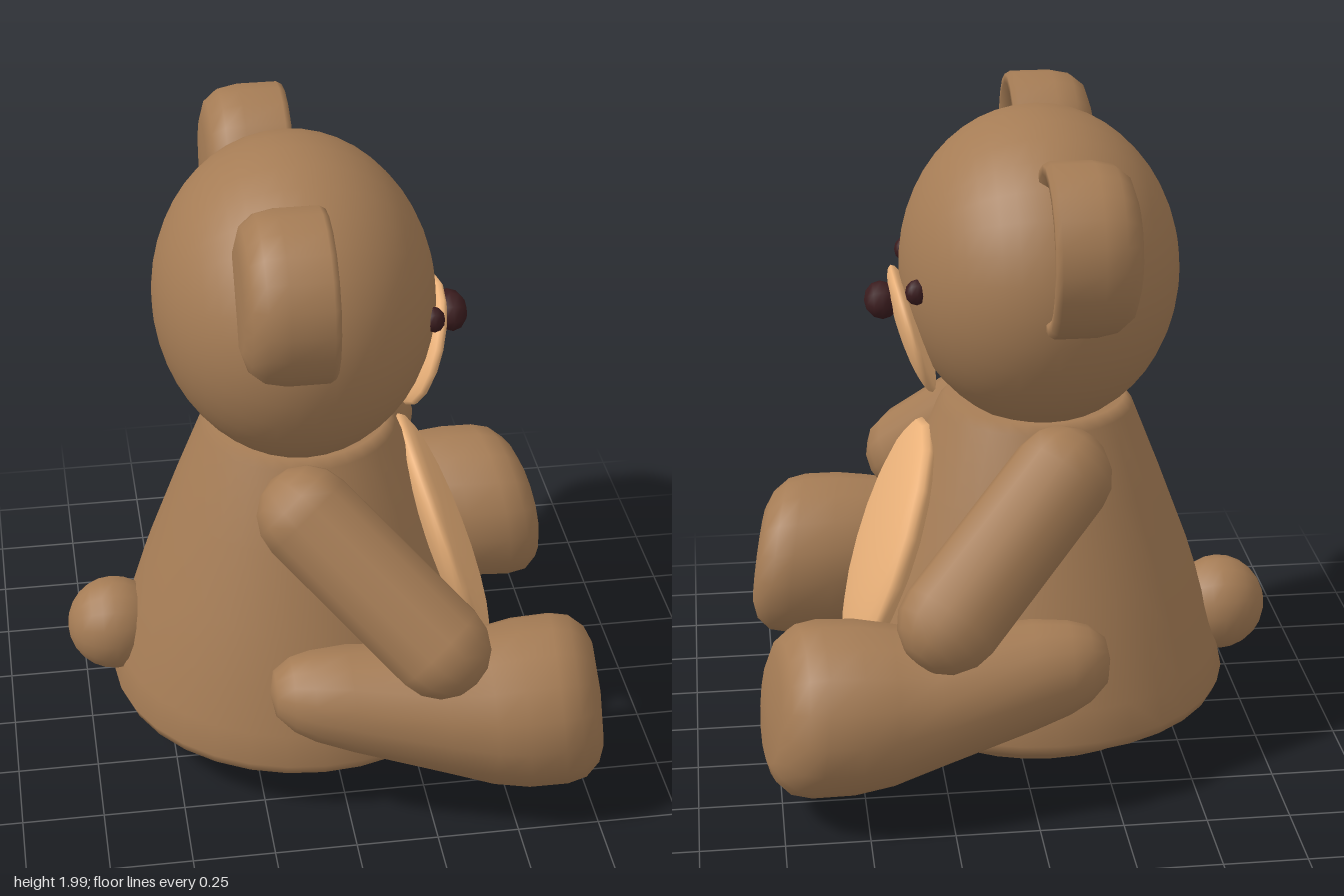
import * as THREE from 'three';
import { mergeVertices } from 'three/addons/utils/BufferGeometryUtils.js';

const material = (color) => new THREE.MeshStandardMaterial({ color });
const fur = material(0xa57c55);
const tan = material(0xebb27a);
const dark = material(0x3a1c1e);

const lathe = (profile, sides) =>
  new THREE.LatheGeometry(profile.map(([r, h]) => new THREE.Vector2(r, h)), sides);

export function createModel() {
  const bear = new THREE.Group();
  bear.name = 'teddyBear';

  function add(name, geometry, mat, x = 0, y = 0, z = 0) {
    const mesh = new THREE.Mesh(geometry, mat);
    mesh.name = name;
    mesh.position.set(x, y, z);
    bear.add(mesh);
    return mesh;
  }

  // Ellipsoid with its poles along x, the direction the bear faces
  function ellipsoid(name, mat, [x, y, z], [rx, ry, rz], w = 16, h = 12) {
    const geometry = new THREE.SphereGeometry(1, w, h).rotateZ(-Math.PI / 2).scale(rx, ry, rz);
    return add(name, geometry, mat, x, y, z);
  }

  // Pear-shaped body with a tucked-in base
  const bodyProfile = [[0, 0.01], [0.2, 0.017], [0.34, 0.035], [0.42, 0.065], [0.47, 0.11], [0.53, 0.145],
    [0.58, 0.165], [0.595, 0.2], [0.575, 0.3], [0.53, 0.45], [0.483, 0.6], [0.39, 0.85], [0.3, 1.08],
    [0.275, 1.11], [0, 1.12]];
  add('body', lathe(bodyProfile, 32), fur, -0.075, 0, 0);

  // Head and face
  ellipsoid('head', fur, [-0.085, 1.52, 0], [0.42, 0.48, 0.515], 32, 24);
  ellipsoid('muzzle', tan, [0.3, 1.33, 0], [0.04, 0.2, 0.22]).rotation.z = -0.3;
  ellipsoid('nose', dark, [0.39, 1.425, 0], [0.052, 0.058, 0.085], 8, 6);

  // Belly patch lying on the slope of the body
  ellipsoid('bellyPatch', tan, [0.385, 0.635, 0], [0.07, 0.405, 0.355]).rotation.z = 0.336;

  ellipsoid('tail', fur, [-0.665, 0.37, -0.01], [0.145, 0.15, 0.145], 16, 12);

  // Cupped ear shell, and the lining set into it
  const earProfile = [[0, -0.3], [0.15, -0.298], [0.205, -0.28], [0.238, -0.24], [0.25, -0.18],
    [0.25, -0.06], [0.24, -0.042], [0.215, -0.042], [0.19, -0.07], [0.165, -0.13], [0, -0.15]];
  const liningProfile = [[0.165, -0.115], [0.1, -0.135], [0, -0.14]];

  // Leg: a turned profile along x, bent to follow its centre line
  const legProfile = [[0, -0.235], [0.07, -0.22], [0.115, -0.17], [0.14, -0.11], [0.165, 0], [0.2, 0.28],
    [0.24, 0.42], [0.26, 0.53], [0.263, 0.65], [0.25, 0.71], [0.21, 0.755], [0.16, 0.775], [0, 0.785]];
  const legPath = new THREE.CatmullRomCurve3([[-0.235, 0.455, 0.54], [0, 0.428, 0.56], [0.28, 0.375, 0.58],
    [0.53, 0.355, 0.563], [0.785, 0.355, 0.553]].map((p) => new THREE.Vector3(...p)));
  const pathPoints = legPath.getPoints(100);

  function legGeometry(side) {
    let geometry = lathe(legProfile, 16).rotateZ(-Math.PI / 2);
    geometry.deleteAttribute('uv');
    geometry.deleteAttribute('normal');
    const pos = geometry.attributes.position;
    for (let i = 0; i < pos.count; i++) {
      const [x, y, z] = [pos.getX(i), pos.getY(i), pos.getZ(i)];
      const c = pathPoints.find((p) => p.x >= x - 1e-4) ?? pathPoints[100];
      // The sole tips slightly up and outward
      const tilt = THREE.MathUtils.smoothstep(x, 0.3, 0.75);
      pos.setXYZ(i, x - tilt * (0.13 * y + 0.14 * side * z), y + c.y, z + side * c.z);
    }
    geometry = mergeVertices(geometry, 1e-5);
    geometry.computeVertexNormals();
    return geometry;
  }

  // Paired parts: facing +x, the bear's own left is -z
  for (const [label, side] of [['left', -1], ['right', 1]]) {
    ellipsoid(label + 'Eye', dark, [0.3, 1.515, side * 0.21], [0.034, 0.04, 0.04], 8, 6);

    const [earY, earZ] = side > 0 ? [1.75, 0.435] : [1.715, -0.48];
    const shell = lathe(earProfile, 20).rotateZ(-Math.PI / 2);
    const lining = lathe(liningProfile, 10).rotateZ(-Math.PI / 2);
    add(label + 'Ear', shell, fur, 0, earY, earZ);
    add(label + 'EarLining', lining, tan, 0, earY, earZ);

    // Arm reaching forward, down and outward
    const shoulder = new THREE.Vector3(-0.1, 0.995, side * 0.41);
    const hand = new THREE.Vector3(0.255, 0.665, side * 0.665);
    const reach = hand.clone().sub(shoulder);
    const arm = add(label + 'Arm', new THREE.CapsuleGeometry(0.153, reach.length(), 4, 12), fur);
    arm.position.copy(shoulder).addScaledVector(reach, 0.5);
    arm.quaternion.setFromUnitVectors(new THREE.Vector3(0, 1, 0), reach.normalize());

    add(label + 'Leg', legGeometry(side), fur);
  }

  return bear;
}
